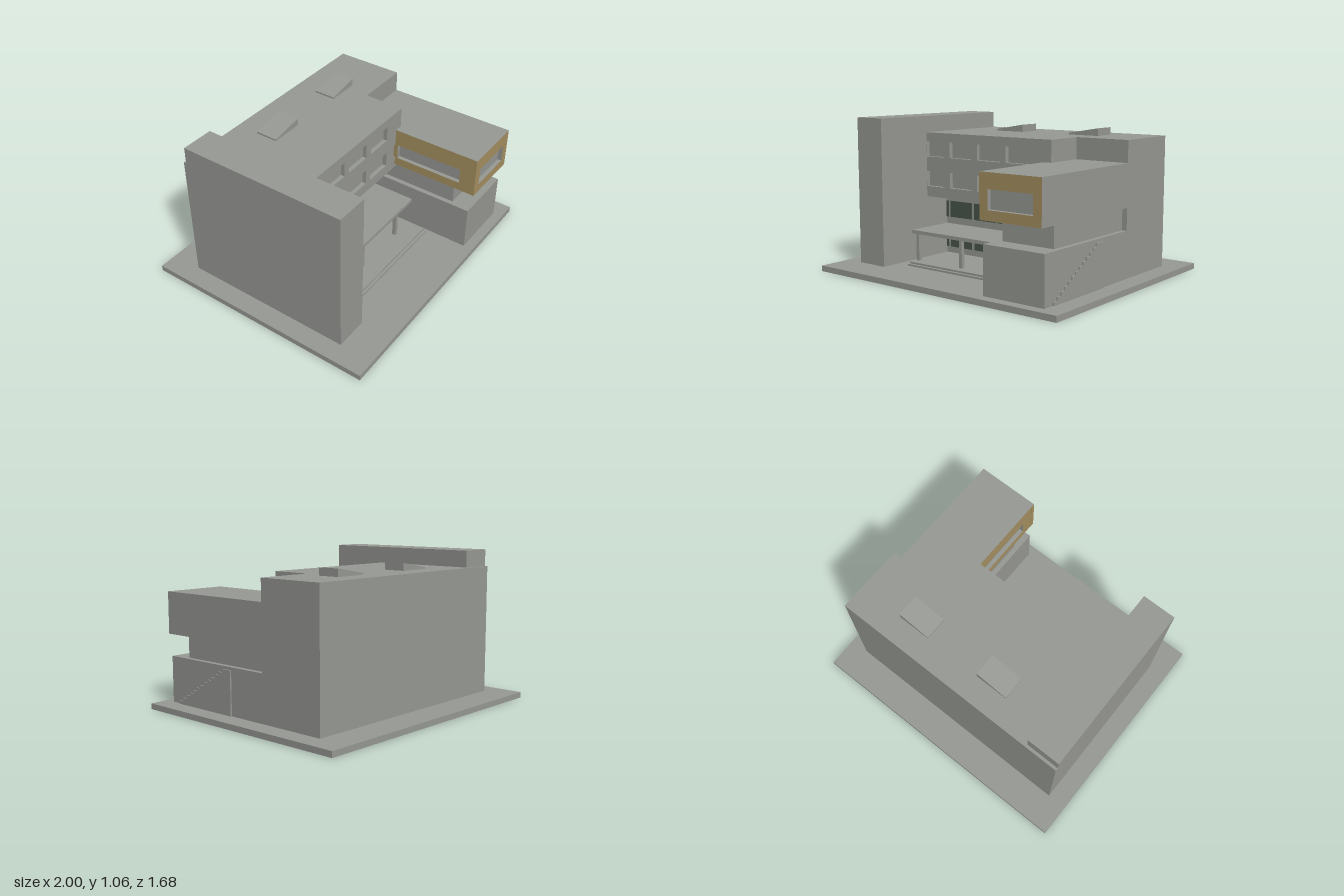
import * as THREE from 'three';

const concrete = new THREE.MeshStandardMaterial({ color: 0x989a95 });
concrete.name = 'concrete grey';
const ochre = new THREE.MeshStandardMaterial({ color: 0xa69161 });
ochre.name = 'ochre cladding';
const glass = new THREE.MeshStandardMaterial({ color: 0x48554b });
glass.name = 'dark green glass';

export function createModel() {
  const model = new THREE.Group();
  model.name = 'building';

  const add = (name, geometry, material = concrete) => {
    const mesh = new THREE.Mesh(geometry, material);
    mesh.name = name;
    model.add(mesh);
    return mesh;
  };
  // box given by its extents on each axis
  const box = (name, x0, x1, y0, y1, z0, z1, material) => {
    const g = new THREE.BoxGeometry(x1 - x0, y1 - y0, z1 - z0);
    g.translate((x0 + x1) / 2, (y0 + y1) / 2, (z0 + z1) / 2);
    return add(name, g, material);
  };
  const rect = (Type, a0, a1, b0, b1) =>
    new Type([[a0, b0], [a1, b0], [a1, b1], [a0, b1]].map(([a, b]) => new THREE.Vector2(a, b)));
  // wall panel with rectangular openings [a0, a1, b0, b1]
  const panel = (outer, openings, depth) => {
    const shape = rect(THREE.Shape, ...outer);
    for (const o of openings) shape.holes.push(rect(THREE.Path, ...o));
    return new THREE.ExtrudeGeometry(shape, { depth, bevelEnabled: false });
  };

  // ground slab and main masses
  box('groundSlab', -1, 1, 0, 0.04, -0.84, 0.84);
  box('sideTower', -0.865, -0.63, 0.04, 1.065, -0.6, 0.6);
  box('rearBlock', -0.865, 0.865, 0.04, 0.948, -0.62, -0.13);
  box('lowerFloors', -0.63, 0.445, 0.04, 0.485, -0.13, -0.05);
  box('upperFloors', -0.63, 0.47, 0.485, 0.948, -0.13, 0.13);

  // upper facade with two rows of recessed windows
  const windows = [[0.39, 0.46, 0.57, 0.68]];
  for (const [y0, y1] of [[0.56, 0.67], [0.775, 0.885]]) {
    for (let i = 0; i < 4; i++) {
      const x = -0.66 + i * 0.252;
      windows.push([Math.max(x, -0.629), x + 0.2, y0, y1]);
    }
  }
  add('upperFacade', panel([-0.63, 0.47, 0.485, 0.948], windows, 0.03)).position.z = 0.13;

  // glazing of the two recessed lower floors
  const panes = [[-0.63, -0.612], [-0.59, -0.385], [-0.36, -0.16], [-0.14, 0.065], [0.09, 0.3], [0.32, 0.408]];
  for (const [y0, y1] of [[0.085, 0.205], [0.31, 0.43]]) {
    for (const [x0, x1] of panes) box('glassPane', x0, x1, y0, y1, -0.05, -0.045, glass);
  }

  // entrance canopy, posts and steps
  box('canopy', -0.63, 0.41, 0.235, 0.26, -0.05, 0.32);
  for (const x of [-0.59, -0.185, 0.235]) {
    box('canopyPost', x - 0.013, x + 0.013, 0.04, 0.235, 0.28, 0.306);
  }
  box('lowerStep', -0.525, 0.385, 0.04, 0.053, 0.43, 0.47);
  box('upperStep', -0.525, 0.385, 0.04, 0.066, 0.43, 0.45);

  // front wing: base, set-back middle, overhanging top floor
  box('wingBase', 0.41, 0.865, 0.04, 0.36, -0.13, 0.77);
  box('wingMiddle', 0.445, 0.83, 0.36, 0.51, -0.13, 0.63);
  box('wingTop', 0.44, 0.865, 0.51, 0.8, -0.13, 0.77);
  const clad = [ochre, concrete];
  add('wingFront', panel([0.41, 0.865, 0.51, 0.8], [[0.47, 0.805, 0.575, 0.7]], 0.03), clad).position.z = 0.77;
  const side = panel([-0.13, 0.77, 0.51, 0.8], [[0.18, 0.68, 0.57, 0.68]], 0.03);
  side.rotateY(-Math.PI / 2);
  add('wingSide', side, clad).position.x = 0.44;
  box('wingCornerCladding', 0.408, 0.41, 0.51, 0.8, 0.77, 0.8, ochre);

  // shallow stair on the wing's outer wall, rising towards the back
  const stair = new THREE.Shape();
  const steps = 13, z0 = 0.2, z1 = 0.69, top = 0.34;
  stair.moveTo(0.16, 0.04);
  stair.lineTo(z1, 0.04);
  for (let i = 0; i < steps; i++) {
    const y = 0.04 + (top - 0.04) * (i + 1) / steps;
    stair.lineTo(z1 + (z0 - z1) * i / steps, y);
    stair.lineTo(z1 + (z0 - z1) * (i + 1) / steps, y);
  }
  stair.lineTo(0.16, top);
  const stairGeometry = new THREE.ExtrudeGeometry(stair, { depth: 0.01, bevelEnabled: false });
  stairGeometry.rotateY(-Math.PI / 2);
  add('outerStair', stairGeometry).position.x = 0.875;

  // sloped rooflights
  for (const x of [-0.345, 0.295]) {
    const wedge = new THREE.Shape([[0, 0], [0.235, 0], [0.235, 0.055], [0, 0.015]]
      .map(([a, b]) => new THREE.Vector2(a, b)));
    const g = new THREE.ExtrudeGeometry(wedge, { depth: 0.16, bevelEnabled: false });
    add('rooflight', g).position.set(x, 0.945, -0.455);
  }
  return model;
}
